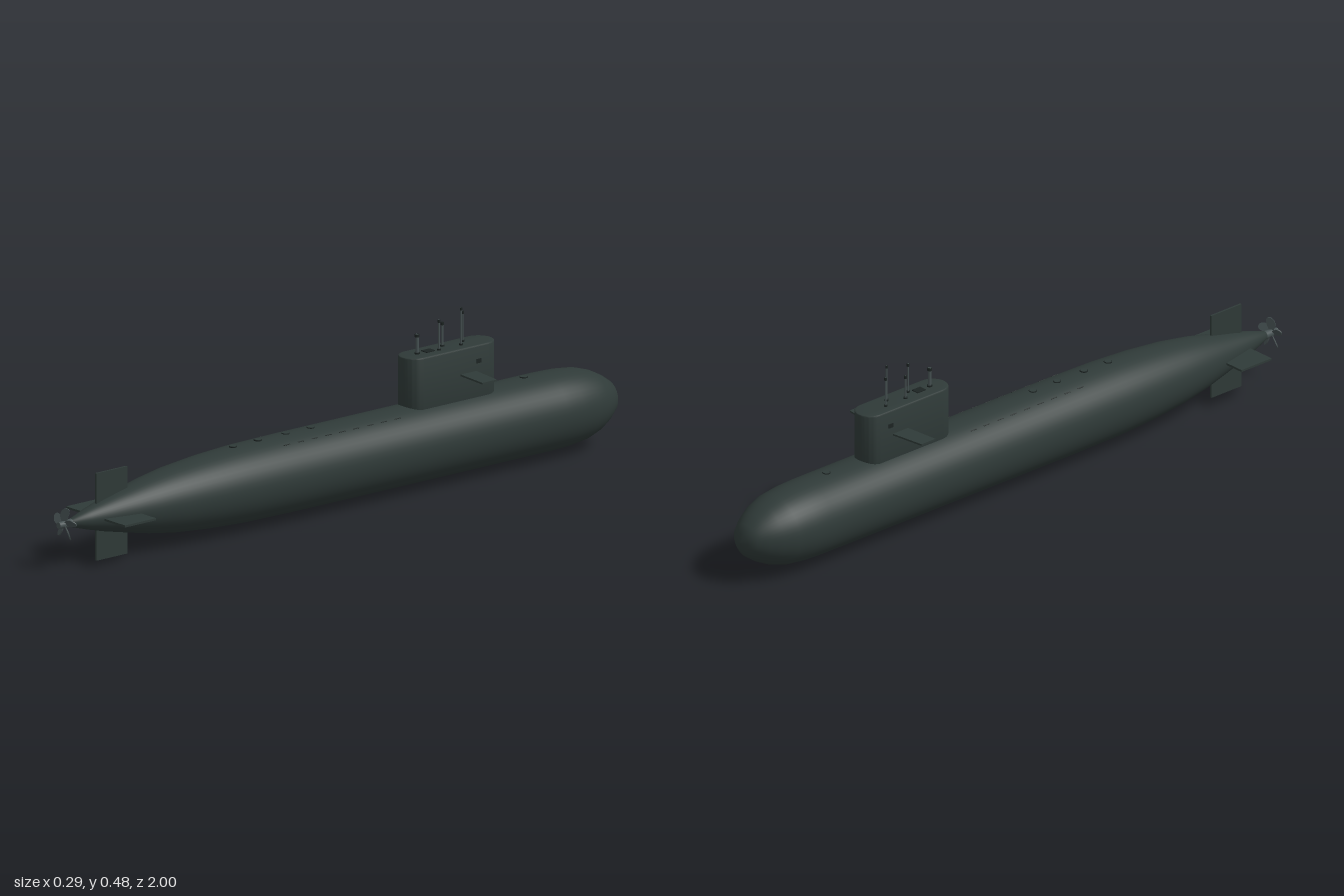
import * as THREE from 'three';
import { toCreasedNormals } from 'three/addons/utils/BufferGeometryUtils.js';

const CY = 0.125; // height of the hull axis

export function createModel() {
  const model = new THREE.Group();
  const material = (name, color) => {
    const m = new THREE.MeshStandardMaterial({ color });
    m.name = name;
    return m;
  };
  const hullPaint = material('hull paint', 0x2f3a38);
  const darkSeam = material('dark seam', 0x1d2423);
  const metal = material('mast metal', 0x465152);

  const add = (name, geometry, mat, x = 0, y = 0, z = 0, parent = model) => {
    const mesh = new THREE.Mesh(geometry, mat);
    mesh.name = name;
    mesh.position.set(x, y, z);
    parent.add(mesh);
    return mesh;
  };
  const polygon = (points) => new THREE.Shape(points.map(([x, y]) => new THREE.Vector2(x, y)));

  // Hull of revolution: [radius, z] from bow to stern
  const profile = [
    [0, -1], [0.025, -0.996], [0.049, -0.98], [0.07, -0.95], [0.088, -0.915], [0.102, -0.87],
    [0.109, -0.81], [0.111, -0.75], [0.111, 0.2], [0.109, 0.36], [0.103, 0.48], [0.092, 0.6],
    [0.078, 0.69], [0.063, 0.76], [0.045, 0.84], [0.029, 0.9], [0.012, 0.955], [0, 0.958],
  ].map(([r, z]) => new THREE.Vector2(r, z));
  add('hull', new THREE.LatheGeometry(profile, 48).rotateX(Math.PI / 2), hullPaint, 0, CY, 0);

  // Sail: stadium footprint with a softly bevelled roof
  const stadium = (r, z0, z1) => {
    const s = new THREE.Shape();
    s.absarc(0, -z0 - r, r, 0, Math.PI, false);
    s.absarc(0, -z1 + r, r, Math.PI, Math.PI * 2, false);
    s.closePath();
    return s;
  };
  const sail = new THREE.ExtrudeGeometry(stadium(0.04, -0.556, -0.244), {
    depth: 0.167, bevelThickness: 0.004, bevelSize: 0.004, bevelSegments: 3, curveSegments: 16,
  }).rotateX(-Math.PI / 2);
  add('sail', toCreasedNormals(sail, 0.7), hullPaint, 0, 0.204, 0);

  // Sail planes and sail side lamps
  for (const s of [1, -1]) {
    const plane = new THREE.ExtrudeGeometry(
      polygon([[0.035, 0.416], [0.146, 0.407], [0.146, 0.459], [0.035, 0.473]].map(([x, y]) => [s * x, y])),
      { depth: 0.005, bevelEnabled: false }
    ).rotateX(-Math.PI / 2);
    add('sailPlane', plane, hullPaint, 0, 0.2975, 0);
    add('sailLamp', new THREE.BoxGeometry(0.004, 0.012, 0.016), darkSeam, s * 0.044, 0.33, -0.48);
  }

  // Cross-shaped stern fins
  add('rudder', new THREE.BoxGeometry(0.006, 0.25, 0.112), hullPaint, 0, CY, 0.81);
  add('sternPlane', new THREE.BoxGeometry(0.25, 0.006, 0.112), hullPaint, 0, CY, 0.81);

  // Masts on the sail roof: x, z, top, radius, head radius
  const masts = [
    [-0.012, -0.47, 0.462, 0.0022, 0.004], [0.012, -0.444, 0.482, 0.0028, 0.0035],
    [-0.012, -0.396, 0.444, 0.003, 0.0045], [0.012, -0.364, 0.462, 0.0022, 0.004],
    [0, -0.295, 0.431, 0.0048, 0.0065],
  ];
  for (const [x, z, top, r, head] of masts) {
    const mast = new THREE.Group();
    mast.name = 'mast';
    mast.position.set(x, 0.37, z);
    model.add(mast);
    const h = top - 0.37;
    add('mastTube', new THREE.CylinderGeometry(r, r, h, 10), metal, 0, h / 2, 0, mast);
    add('mastHead', new THREE.CylinderGeometry(head, head, 0.008, 10), darkSeam, 0, h - 0.004, 0, mast);
    add('mastCollar', new THREE.CylinderGeometry(r + 0.003, r + 0.003, 0.008, 12), darkSeam, 0, 0.005, 0, mast);
  }
  add('bridgeWell', new THREE.BoxGeometry(0.024, 0.003, 0.03), darkSeam, 0, 0.376, -0.335);

  // Deck hatches
  for (const z of [-0.68, 0.09, 0.18, 0.28, 0.37]) {
    const y = CY + (z > 0.3 ? 0.109 : 0.111);
    add('hatch', new THREE.CylinderGeometry(0.01, 0.01, 0.005, 16), hullPaint, 0, y, z);
    add('hatchRim', new THREE.CylinderGeometry(0.0115, 0.0115, 0.003, 16), darkSeam, 0, y, z);
  }

  // Rows of drain slots beside the deck
  for (const s of [1, -1]) {
    for (let i = 0; i < 9; i++) {
      const a = s * 0.5;
      const slot = add('drainSlot', new THREE.BoxGeometry(0.003, 0.002, 0.022), darkSeam,
        Math.sin(a) * 0.1105, CY + Math.cos(a) * 0.1105, -0.18 + i * 0.05);
      slot.rotation.z = -a;
    }
  }

  // Propeller: hub and five skewed, pitched blades
  const propeller = new THREE.Group();
  propeller.name = 'propeller';
  propeller.position.set(0, CY, 0.979);
  model.add(propeller);
  add('propellerHub', new THREE.CylinderGeometry(0.009, 0.012, 0.05, 20).rotateX(Math.PI / 2), metal, 0, 0, -0.004, propeller);
  const bladeShape = new THREE.Shape();
  bladeShape.moveTo(-0.005, 0.006);
  bladeShape.bezierCurveTo(-0.016, 0.02, -0.014, 0.04, 0.004, 0.047);
  bladeShape.bezierCurveTo(0.02, 0.046, 0.016, 0.03, 0.005, 0.006);
  for (let i = 0; i < 5; i++) {
    const blade = new THREE.ExtrudeGeometry(bladeShape, { depth: 0.003, bevelEnabled: false, curveSegments: 8 })
      .translate(0, 0, -0.0015)
      .rotateY(0.6)
      .rotateZ((i * Math.PI * 2) / 5);
    add('propellerBlade', blade, metal, 0, 0, 0, propeller);
  }

  return model;
}
